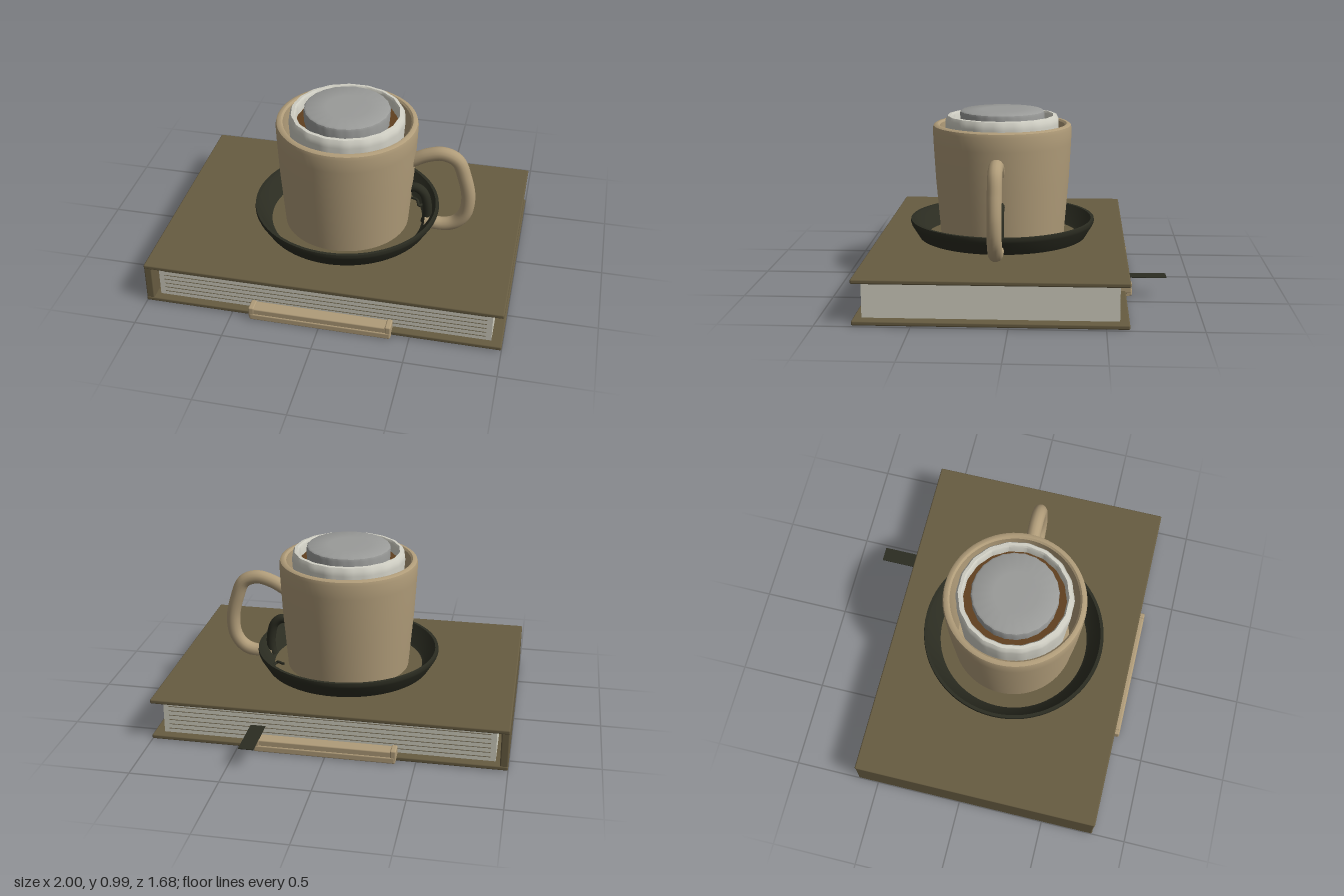
import * as THREE from 'three';
import { RoundedBoxGeometry } from 'three/addons/geometries/RoundedBoxGeometry.js';
import { toCreasedNormals } from 'three/addons/utils/BufferGeometryUtils.js';

const mat = (name, color, side = THREE.FrontSide) => {
  const m = new THREE.MeshStandardMaterial({ color, side });
  m.name = name;
  return m;
};

export function createModel() {
  const root = new THREE.Group();
  root.name = 'cupOnBook';
  const cover = mat('olive cover', 0x675c41);
  const paper = mat('paper', 0xd0cebf);
  const pageLine = mat('page line', 0x6f664f);
  const tan = mat('tan ceramic', 0xb09c79);
  const dark = mat('dark glaze', 0x2b2c21, THREE.DoubleSide);
  const coffee = mat('coffee', 0x60401f);
  const cream = mat('cream', 0xd2d1c6);
  const grey = mat('grey lid', 0x9a9b99);

  const add = (parent, name, geo, material) => {
    const mesh = new THREE.Mesh(geo, material);
    mesh.name = name;
    parent.add(mesh);
    return mesh;
  };
  // box given by its lower and upper limits, with optional rounding
  const block = (parent, name, m, x0, x1, y0, y1, z0, z1, r = 0) => {
    const s = [x1 - x0, y1 - y0, z1 - z0];
    const geo = r ? new RoundedBoxGeometry(...s, 2, r) : new THREE.BoxGeometry(...s);
    add(parent, name, geo, m).position.set((x0 + x1) / 2, (y0 + y1) / 2, (z0 + z1) / 2);
  };
  const lathe = (parent, name, m, pts, { waves = 0, amp = 0 } = {}) => {
    const geo = new THREE.LatheGeometry(pts.map(p => new THREE.Vector2(...p)), 72);
    if (waves) {
      const p = geo.attributes.position;
      for (let i = 0; i < p.count; i++) {
        const k = 1 + amp * Math.cos(waves * Math.atan2(p.getZ(i), p.getX(i)));
        p.setXYZ(i, p.getX(i) * k, p.getY(i), p.getZ(i) * k);
      }
    }
    return add(parent, name, toCreasedNormals(geo, 0.6), m);
  };
  const tube = (parent, name, m, pts, r) => add(parent, name, new THREE.TubeGeometry(
    new THREE.CatmullRomCurve3(pts.map(p => new THREE.Vector3(...p))), 48, r, 14), m);

  // Book
  const book = new THREE.Group();
  book.name = 'book';
  root.add(book);
  block(book, 'topCover', cover, -1, 1, 0.225, 0.25, -0.62, 0.805, 0.008);
  block(book, 'bottomCover', cover, -1, 1, 0.005, 0.03, -0.62, 0.805, 0.008);
  block(book, 'spine', cover, -1, -0.955, 0.008, 0.247, -0.617, 0.802, 0.008);
  block(book, 'pages', paper, -0.93, 0.94, 0.03, 0.225, -0.57, 0.76);
  for (const z of [-0.57, 0.76])
    for (let i = 0; i < 6; i++) {
      const y = 0.055 + i * 0.0275;
      block(book, 'pageLine', pageLine, -0.9, 0.91, y - 0.0015, y + 0.0015, z - 0.003, z + 0.003);
    }
  block(book, 'ribbon', dark, 0.35, 0.435, 0.117, 0.121, -0.84, -0.5);

  // Strap wrapped under the book with a hooked clip at each edge
  const strap = new THREE.Group();
  strap.name = 'strap';
  root.add(strap);
  block(strap, 'strapUnderside', tan, -0.39, 0.4, 0, 0.012, -0.64, 0.825);
  for (const [edge, d] of [[0.805, 1], [-0.62, -1]]) {
    const side = (name, x0, x1, y0, y1, a, b, r) => block(strap, name, tan, x0, x1, y0, y1,
      Math.min(edge + a * d, edge + b * d), Math.max(edge + a * d, edge + b * d), r);
    side('strapEdge', -0.39, 0.4, 0.002, 0.04, 0, 0.035, 0.008);
    side('strapClip', -0.37, 0.38, 0.03, 0.073, -0.045, 0.03, 0.008);
    side('clipEnd', -0.395, -0.363, 0.015, 0.08, -0.045, 0.033, 0.008);
    side('clipEnd', 0.37, 0.402, 0.015, 0.08, -0.045, 0.033, 0.008);
  }

  // Cup and saucer share one axis
  const set = new THREE.Group();
  set.name = 'cupAndSaucer';
  set.position.set(0, 0, 0.09);
  root.add(set);
  lathe(set, 'saucer', dark, [[0.44, 0.25], [0.485, 0.25], [0.53, 0.325], [0.535, 0.34], [0.533, 0.355],
    [0.515, 0.355], [0.455, 0.262], [0.44, 0.25]]);
  lathe(set, 'cup', tan, [[0, 0.252], [0.358, 0.252], [0.366, 0.35], [0.385, 0.58], [0.397, 0.8], [0.4, 0.88],
    [0.395, 0.9], [0.383, 0.908], [0.37, 0.908], [0.36, 0.898], [0.352, 0.7], [0.33, 0.32], [0, 0.3]]);
  tube(set, 'cupHandle', tan, [[0.37, 0.68, 0], [0.46, 0.728, 0], [0.55, 0.748, 0], [0.63, 0.715, 0],
    [0.675, 0.61, 0], [0.703, 0.48, 0], [0.69, 0.37, 0], [0.64, 0.302, 0], [0.57, 0.275, 0], [0.46, 0.28, 0]], 0.04);

  // Small dark loop beneath the handle
  tube(set, 'innerLoop', dark, [[0.34, 0.48, -0.01], [0.4, 0.497, -0.01], [0.445, 0.465, -0.01],
    [0.468, 0.39, -0.01], [0.47, 0.31, -0.01], [0.46, 0.265, -0.01]], 0.027);
  tube(set, 'looseCurl', dark, [[0.35, 0.29, -0.2], [0.385, 0.29, -0.18], [0.4, 0.275, -0.15],
    [0.42, 0.265, -0.18]], 0.008);

  // Nested filling
  lathe(set, 'creamRing', cream, [[0.3, 0.5], [0.318, 0.8], [0.326, 0.91], [0.323, 0.935], [0.312, 0.955],
    [0.294, 0.957], [0.286, 0.945], [0.283, 0.86]], { waves: 18, amp: 0.008 });
  lathe(set, 'coffeeSurface', coffee, [[0.286, 0.89], [0, 0.89]]);
  lathe(set, 'lid', grey, [[0.236, 0.86], [0.242, 0.965], [0.238, 0.978], [0.228, 0.985], [0.12, 0.987],
    [0, 0.988]], { waves: 24, amp: 0.008 });
  return root;
}
